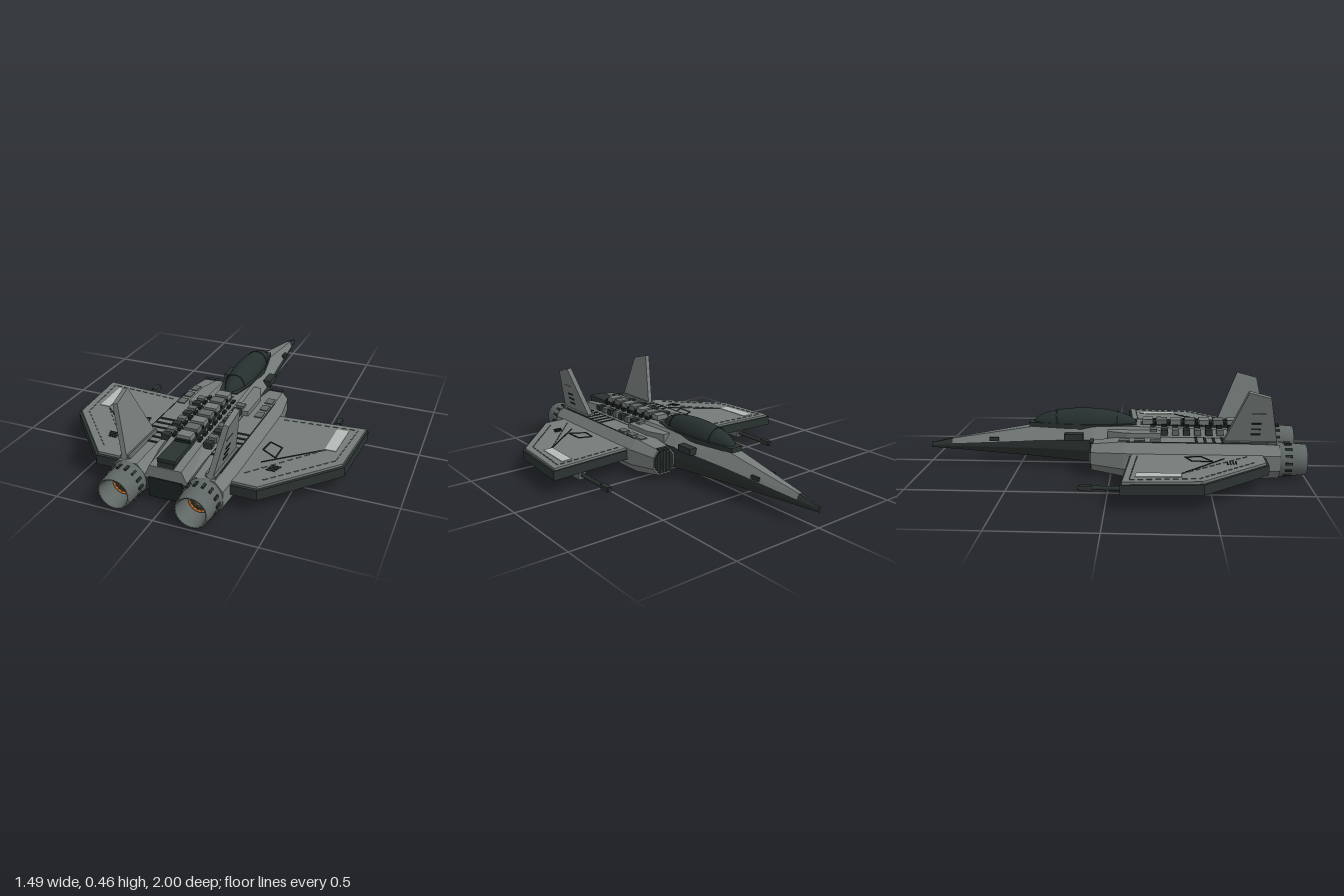
import * as THREE from 'three';

const mat = (name, color) => {
  const m = new THREE.MeshStandardMaterial({ color });
  m.name = name;
  return m;
};

export function createModel() {
  const grey = mat('hull grey', 0x747b78);
  const midGrey = mat('panel grey', 0x5f6764);
  const dark = mat('dark armour', 0x2a3331);
  const black = mat('panel line black', 0x1b2221);
  const glass = mat('canopy glass', 0x26302f);
  const white = mat('marking white', 0xb4bab7);
  const orange = mat('engine orange', 0xc06a22);

  const root = new THREE.Group();
  root.name = 'starfighter';
  const add = (name, geo, m, parent = root) => {
    const mesh = new THREE.Mesh(geo, m);
    mesh.name = name;
    parent.add(mesh);
    return mesh;
  };
  const box = (name, m, w, h, d, x, y, z, parent = root) => {
    const b = add(name, new THREE.BoxGeometry(w, h, d), m, parent);
    b.position.set(x, y, z);
    return b;
  };

  // Flat-sided skin through rings of [x, y]; rings run counter-clockwise seen from +z, z increasing
  const loft = (sections) => {
    const pos = [];
    const put = (s, k) => pos.push(s.ring[k][0], s.ring[k][1], s.z);
    const n = sections[0].ring.length;
    for (let i = 0; i < sections.length - 1; i++) {
      const a = sections[i], b = sections[i + 1];
      for (let j = 0; j < n; j++) {
        const k = (j + 1) % n;
        put(a, j); put(a, k); put(b, j);
        put(a, k); put(b, k); put(b, j);
      }
    }
    const first = sections[0], last = sections[sections.length - 1];
    for (let k = 1; k < n - 1; k++) {
      put(first, 0); put(first, k + 1); put(first, k);
      put(last, 0); put(last, k); put(last, k + 1);
    }
    const g = new THREE.BufferGeometry();
    g.setAttribute('position', new THREE.Float32BufferAttribute(pos, 3));
    g.computeVertexNormals();
    return g;
  };

  // Horizontal plate from an [x, z] outline
  const plate = (pts, yTop, thick) => {
    const shape = new THREE.Shape(pts.map(([x, z]) => new THREE.Vector2(x, z)));
    const g = new THREE.ExtrudeGeometry(shape, { depth: thick, bevelEnabled: false });
    g.rotateX(Math.PI / 2);
    return g.translate(0, yTop, 0);
  };
  // Thin painted line between two [x, z] points
  const line = (name, a, b, y, width, m, parent) => {
    const dx = b[0] - a[0], dz = b[1] - a[1];
    const l = box(name, m, Math.hypot(dx, dz), 0.004, width, (a[0] + b[0]) / 2, y, (a[1] + b[1]) / 2, parent);
    l.rotation.y = -Math.atan2(dz, dx);
  };

  // Fuselage stations: z, half width, edge height, top height, top half width, bottom height
  const stations = [
    [-1, 0.008, 0.1, 0.11, 0.004, 0.085],
    [-0.88, 0.024, 0.112, 0.138, 0.01, 0.08],
    [-0.43, 0.08, 0.15, 0.217, 0.035, 0.058],
    [-0.1, 0.125, 0.17, 0.233, 0.075, 0.037],
    [0.15, 0.14, 0.17, 0.235, 0.085, 0.03],
    [0.6, 0.14, 0.165, 0.225, 0.085, 0.03],
    [0.86, 0.11, 0.13, 0.195, 0.08, 0.03],
  ];
  const upper = ([z, w, mid, top, tw]) => ({ z, ring: [[w, mid], [tw, top], [-tw, top], [-w, mid]] });
  const lower = ([z, w, mid, , , bot]) => ({
    z, ring: [[w, mid], [-w, mid], [-w, mid * 0.55 + bot * 0.45], [-w * 0.65, bot], [w * 0.65, bot], [w, mid * 0.55 + bot * 0.45]],
  });
  add('noseTip', loft(stations.slice(0, 2).map(upper)), dark);
  add('upperHull', loft(stations.slice(1).map(upper)), grey);
  add('lowerHull', loft(stations.map(lower)), dark);
  box('rearPlate', black, 0.17, 0.1, 0.008, 0, 0.085, 0.862);

  // Cockpit
  add('canopySill', plate([[-0.035, -0.45], [0.035, -0.45], [0.078, -0.22], [0.078, 0.0], [0.05, 0.13], [-0.05, 0.13], [-0.078, 0], [-0.078, -0.22]], 0.24, 0.025), dark);
  const canopy = add('canopy', new THREE.SphereGeometry(1, 28, 10, 0, Math.PI * 2, 0, Math.PI / 2), glass);
  canopy.scale.set(0.072, 0.083, 0.28);
  canopy.position.set(0, 0.232, -0.15);
  for (const [z, r] of [[-0.3, 0.062], [0.03, 0.057]]) {
    const arch = add('canopyFrame', new THREE.TorusGeometry(1, 0.04, 6, 20, Math.PI), dark);
    arch.scale.set(r, r * 1.15, 0.1);
    arch.position.set(0, 0.232, z);
  }

  // Spine with armour blocks
  box('spineTrough', dark, 0.09, 0.02, 0.7, 0, 0.225, 0.5);
  for (let i = 0; i < 7; i++) {
    box('spineBlock', i % 2 ? midGrey : grey, 0.07, 0.03, 0.055, 0, 0.247, 0.19 + i * 0.075);
    box('spineGap', black, 0.078, 0.016, 0.012, 0, 0.24, 0.228 + i * 0.075);
  }
  box('spineTail', dark, 0.08, 0.03, 0.13, 0, 0.205, 0.79);

  const octagon = (hw, hh, y) => [[1, 0.45], [0.55, 1], [-0.55, 1], [-1, 0.45], [-1, -0.45], [-0.55, -1], [0.55, -1], [1, -0.45]]
    .map(([x, v]) => [x * hw, y + v * hh]);

  for (const s of [-1, 1]) {
    const side = new THREE.Group();
    side.name = s > 0 ? 'leftSide' : 'rightSide';
    root.add(side);
    const mx = (pts) => pts.map(([x, z]) => [s * x, z]);

    // Engine nacelle and slatted intake
    const nacelle = add('nacelle', loft([
      { z: -0.1, ring: octagon(0.066, 0.07, 0.108) },
      { z: 0.07, ring: octagon(0.094, 0.092, 0.103) },
      { z: 0.7, ring: octagon(0.095, 0.093, 0.101) },
      { z: 0.86, ring: octagon(0.088, 0.086, 0.1) },
    ]), grey, side);
    nacelle.position.x = s * 0.192;
    const mouth = add('intakeMouth', loft([
      { z: -0.104, ring: octagon(0.059, 0.062, 0.108) },
      { z: -0.099, ring: octagon(0.059, 0.062, 0.108) },
    ]), black, side);
    mouth.position.x = s * 0.192;
    for (let i = -2; i <= 2; i++)
      box('intakeSlat', midGrey, 0.006, i % 2 || !i ? 0.115 : 0.08, 0.008, s * 0.192 + i * 0.021, 0.108, -0.106, side);
    box('intakeLip', dark, 0.075, 0.01, 0.02, s * 0.192, 0.181, -0.1, side);

    // Nozzle: shell, flange, turbine
    const nozzle = new THREE.Group();
    nozzle.name = 'nozzle';
    nozzle.position.set(s * 0.19, 0.1, 0);
    side.add(nozzle);
    const shell = [[0.08, 0.84], [0.09, 0.86], [0.09, 0.88], [0.084, 0.885], [0.084, 0.94], [0.079, 1], [0.07, 1], [0.058, 0.9]];
    add('nozzleShell', new THREE.LatheGeometry(shell.map((p) => new THREE.Vector2(...p)), 28).rotateX(Math.PI / 2), midGrey, nozzle);
    add('nozzleBack', new THREE.CircleGeometry(0.06, 28), dark, nozzle).position.z = 0.905;
    add('glowRing', new THREE.TorusGeometry(0.05, 0.006, 6, 28), orange, nozzle).position.z = 0.91;
    add('glowCore', new THREE.TorusGeometry(0.022, 0.004, 6, 20), orange, nozzle).position.z = 0.912;
    add('turbineHub', new THREE.CylinderGeometry(0.012, 0.017, 0.02, 16).rotateX(Math.PI / 2), midGrey, nozzle).position.z = 0.915;
    for (let i = 0; i < 14; i++) {
      const a = (i / 14) * Math.PI * 2;
      box('turbineBlade', midGrey, 0.028, 0.004, 0.006, Math.cos(a) * 0.032, Math.sin(a) * 0.032, 0.911, nozzle).rotation.z = a;
      box('nozzleLug', dark, 0.01, 0.012, 0.035, Math.cos(a) * 0.086, Math.sin(a) * 0.086, 0.905, nozzle).rotation.z = a;
    }

    // Wing: dark core with a grey skin on top
    add('wing', plate(mx([[0.2, 0.1], [0.285, 0.1], [0.745, 0.07], [0.72, 0.45], [0.41, 0.785], [0.2, 0.785]]), 0.132, 0.05), dark, side);
    add('wingSkin', plate(mx([[0.2, 0.11], [0.285, 0.11], [0.735, 0.078], [0.708, 0.442], [0.405, 0.77], [0.2, 0.77]]), 0.144, 0.014), grey, side);
    add('wingPatch', plate(mx([[0.6, 0.14], [0.66, 0.135], [0.65, 0.35], [0.595, 0.35]]), 0.147, 0.004), white, side);
    line('wingSeam', [s * 0.6, 0.35], [s * 0.35, 0.57], 0.145, 0.006, black, side);
    const diamond = mx([[0.4, 0.41], [0.33, 0.38], [0.32, 0.46], [0.4, 0.51]]);
    diamond.forEach((p, i) => line('wingHatch', p, diamond[(i + 1) % 4], 0.145, 0.007, black, side));
    // Dashed seams along the wing edges
    const dashes = (a, b, n) => {
      for (let i = 0; i < n; i++) {
        const at = (t) => [s * (a[0] + (b[0] - a[0]) * t), a[1] + (b[1] - a[1]) * t];
        line('wingDash', at(i / n), at((i + 0.6) / n), 0.145, 0.005, midGrey, side);
      }
    };
    dashes([0.67, 0.43], [0.4, 0.72], 10);
    dashes([0.7, 0.11], [0.67, 0.43], 8);
    dashes([0.6, 0.35], [0.3, 0.7], 10);
    dashes([0.32, 0.14], [0.7, 0.11], 9);
    for (let i = 0; i < 4; i++)
      box('wingVent', black, 0.045, 0.004, 0.006, s * (0.43 - i * 0.005), 0.145, 0.58 + i * 0.014, side);

    // Canted tail fin with vents on its outer face
    const finShape = new THREE.Shape([[0.57, 0], [0.69, 0.29], [0.8, 0.26], [0.85, 0]].map(([z, y]) => new THREE.Vector2(-z, y)));
    const finGeo = new THREE.ExtrudeGeometry(finShape, { depth: 0.026, bevelEnabled: false });
    finGeo.rotateY(Math.PI / 2).translate(-0.013, 0, 0);
    const fin = new THREE.Group();
    fin.name = 'tailFin';
    fin.position.set(s * 0.212, 0.187, 0);
    fin.rotation.z = -s * 0.235;
    side.add(fin);
    add('finBlade', finGeo, grey, fin);
    for (let i = 0; i < 3; i++)
      box('finVent', black, 0.006, 0.009, 0.05, s * 0.013, 0.06 + i * 0.03, 0.735, fin);
    box('finMark', midGrey, 0.004, 0.005, 0.07, s * 0.013, 0.175, 0.745, fin);
    box('finFoot', midGrey, 0.05, 0.02, 0.27, 0, 0.01, 0.71, fin);

    // Wing gun
    const barrel = add('gunBarrel', new THREE.CylinderGeometry(0.011, 0.011, 0.3, 10).rotateX(Math.PI / 2), dark, side);
    barrel.position.set(s * 0.553, 0.052, 0.01);
    box('gunBody', midGrey, 0.044, 0.036, 0.26, s * 0.553, 0.047, 0.25, side);
    box('gunMount', dark, 0.03, 0.03, 0.12, s * 0.553, 0.075, 0.27, side);
    box('gunMuzzle', dark, 0.026, 0.026, 0.06, s * 0.553, 0.052, -0.1, side);

    // Raised panels, vents and small fittings on the back
    box('cheekPod', dark, 0.04, 0.035, 0.1, s * 0.117, 0.185, -0.2, side);
    const shoulder = add('shoulderPanel', plate(mx([[0.085, -0.02], [0.13, -0.02], [0.165, 0.08], [0.165, 0.26], [0.085, 0.26]]), 0.218, 0.06), grey, side);
    shoulder.position.y = 0.002;
    for (let i = 0; i < 3; i++) box('shoulderHatch', midGrey, 0.04, 0.006, 0.055, s * 0.215, 0.197, 0.07 + i * 0.08, side);
    for (let i = 0; i < 8; i++) {
      box('backRail', i % 2 ? dark : midGrey, 0.042, 0.03, 0.035, s * 0.11, 0.217, 0.22 + i * 0.058, side);
      box('spineClip', black, 0.014, 0.016, 0.03, s * 0.066, 0.236, 0.22 + i * 0.058, side);
    }
    for (let i = 0; i < 6; i++) box('nacelleVent', black, 0.1, 0.006, 0.014, s * 0.19, 0.194, 0.44 + i * 0.045, side);
    line('nacelleSeam', [s * 0.243, 0.08], [s * 0.243, 0.8], 0.194, 0.005, dark, side);
    box('noseVent', dark, 0.012, 0.02, 0.05, s * 0.055, 0.148, -0.64, side);
  }
  return root;
}
